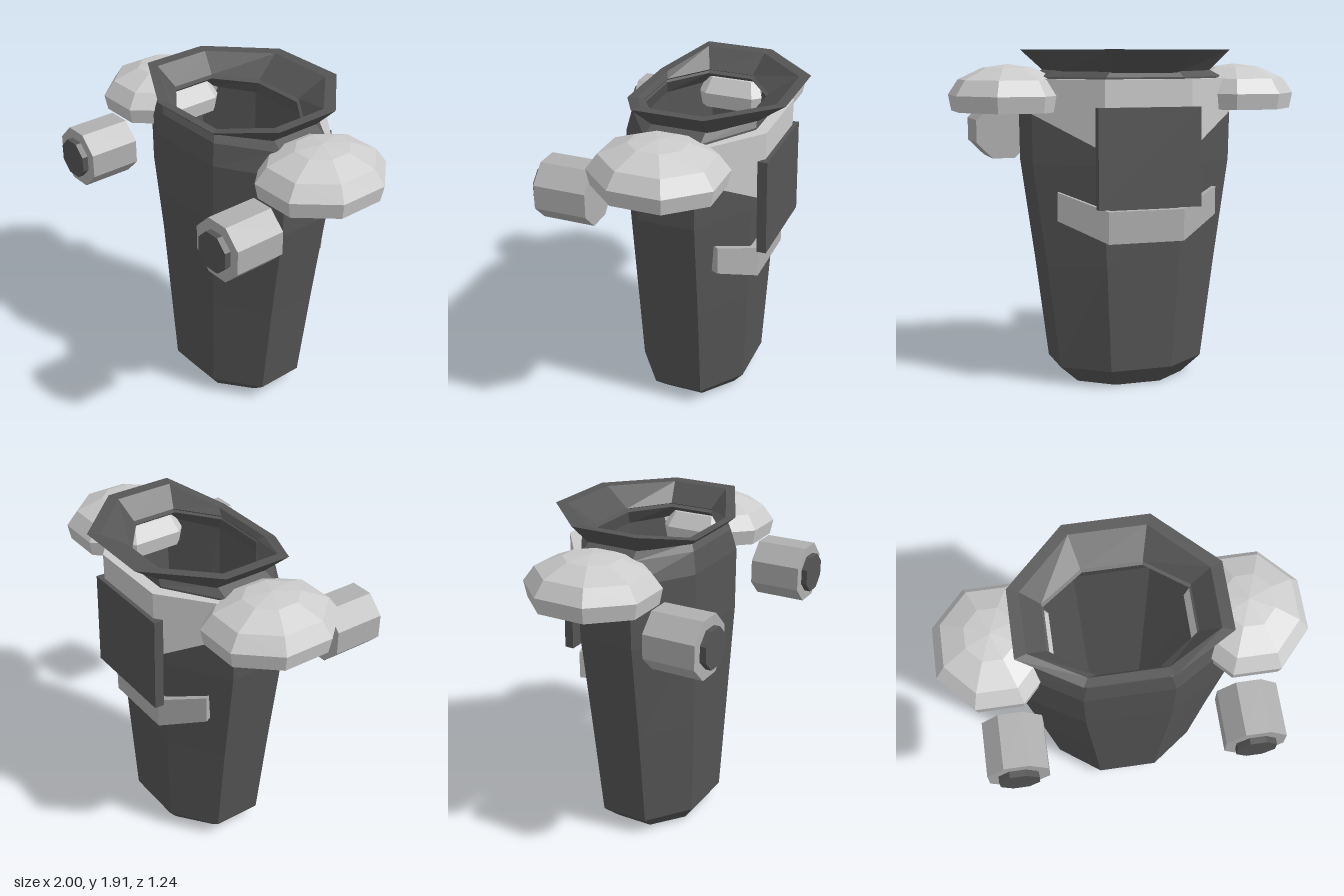
import * as THREE from 'three';

const mat = (color) => new THREE.MeshStandardMaterial({ color, flatShading: true, side: THREE.DoubleSide });
const dark = mat(0x555555), mid = mat(0xb0b0b0), light = mat(0xcccccc);

// Skin a series of equal-length point loops; optionally close both ends.
function loft(rings, caps = false) {
  const pos = [];
  const tri = (...pts) => pts.forEach((p) => pos.push(...p));
  const n = rings[0].length;
  for (let r = 0; r < rings.length - 1; r++) {
    const a = rings[r], b = rings[r + 1];
    for (let i = 0; i < n; i++) {
      const j = (i + 1) % n;
      tri(a[i], a[j], b[j]);
      tri(a[i], b[j], b[i]);
    }
  }
  if (caps) {
    const s = rings[0], e = rings[rings.length - 1];
    for (let i = 1; i < n - 1; i++) {
      tri(s[0], s[i + 1], s[i]);
      tri(e[0], e[i], e[i + 1]);
    }
  }
  const g = new THREE.BufferGeometry();
  g.setAttribute('position', new THREE.Float32BufferAttribute(pos, 3));
  g.computeVertexNormals();
  return g;
}

// Chamfered rectangular loop; the front corners may sit at their own height.
function oct(y, hx, zf, zb, sideMid = (zf + zb) / 2, yFront = y) {
  const fx = hx * 0.42, h = (zf - zb) * 0.22;
  const half = [[fx, yFront, zf], [hx, y, sideMid + h], [hx, y, sideMid - h], [fx, y, zb]];
  return [...half, ...half.map(([x, yy, z]) => [-x, yy, z]).reverse()];
}

// Band round the back; stations [x, z, top, bottom] on one side are mirrored.
function band(stations, t) {
  const all = [...stations, ...stations.map(([x, ...r]) => [-x, ...r]).reverse()];
  return loft(all.map(([x, z, top, bottom]) => {
    const ix = x - Math.sign(x) * t * 0.5, iz = z + t;
    return [[x, top, z], [x, bottom, z], [ix, bottom, iz], [ix, top, iz]];
  }), true);
}

export function createModel() {
  const model = new THREE.Group();
  const add = (name, geometry, material, parent = model) => {
    const mesh = new THREE.Mesh(geometry, material);
    mesh.name = name;
    parent.add(mesh);
    return mesh;
  };

  // Hollow tapered body: up the outside, over the lip, down the inside
  add('body', loft([
    oct(0, 0.32, 0.17, -0.34),
    oct(0.1, 0.43, 0.24, -0.41),
    oct(0.7, 0.505, 0.265, -0.435),
    oct(1.28, 0.585, 0.287, -0.455),
    oct(1.64, 0.59, 0.287, -0.46),
    oct(1.76, 0.53, 0.26, -0.46),
    oct(1.8, 0.45, 0.23, -0.45),
    oct(1.78, 0.39, 0.21, -0.39),
    oct(1.7, 0.5, 0.23, -0.41),
    oct(0.12, 0.39, 0.2, -0.37),
    oct(0, 0.29, 0.13, -0.31),
    oct(0, 0.32, 0.17, -0.34),
  ]), dark);

  // Flared collar, dipping at the front
  add('collar', loft([
    oct(1.78, 0.44, 0.225, -0.45),
    oct(1.91, 0.57, 0.28, -0.62, -0.09, 1.83),
    oct(1.905, 0.505, 0.23, -0.56, -0.09, 1.83),
    oct(1.8, 0.4, 0.21, -0.4),
    oct(1.78, 0.44, 0.225, -0.45),
  ]), dark);

  // Yoke across the upper back, strap and back plate
  add('backYoke', band([[0.61, -0.24, 1.75, 1.57], [0.25, -0.525, 1.75, 1.36]], 0.08), light);
  add('backStrap', band([[0.47, -0.34, 1.13, 0.97], [0.22, -0.495, 1.03, 0.85]], 0.05), mid);
  const plate = add('backPlate', new THREE.BoxGeometry(0.59, 0.55, 0.055), dark);
  plate.position.set(0, 1.325, -0.527);
  plate.rotation.x = 0.02;

  // Octagons with flat sides: circumradius is apothem / cos(22.5 deg)
  const k = 1 / Math.cos(Math.PI / 8);
  const domeProfile = [[0, 1.57], [0.95, 1.57], [1, 1.66], [0.83, 1.745], [0.42, 1.81], [0, 1.83]]
    .map(([r, y]) => new THREE.Vector2(r * k, y));

  for (const [side, s] of [['left', 1], ['right', -1]]) {
    // Domed shoulder pad
    const dome = new THREE.LatheGeometry(domeProfile, 8).rotateY(Math.PI / 8);
    dome.scale(0.315, 1, 0.35);
    add(side + 'ShoulderPad', dome, light).position.set(s * 0.685, 0, -0.09);

    // Forward-facing tube with a dark end
    const tube = new THREE.Group();
    tube.name = side + 'ShoulderTube';
    tube.position.set(s * 0.64, 1.43, 0);
    const drum = (r, z0, z1) => new THREE.CylinderGeometry(r * k, r * k, z1 - z0, 8)
      .rotateY(Math.PI / 8).rotateX(Math.PI / 2).translate(0, 0, (z0 + z1) / 2);
    add(side + 'TubeBarrel', drum(0.163, 0.28, 0.58), mid, tube);
    add(side + 'TubeEnd', drum(0.106, 0.57, 0.615), dark, tube);
    model.add(tube);
  }
  return model;
}
